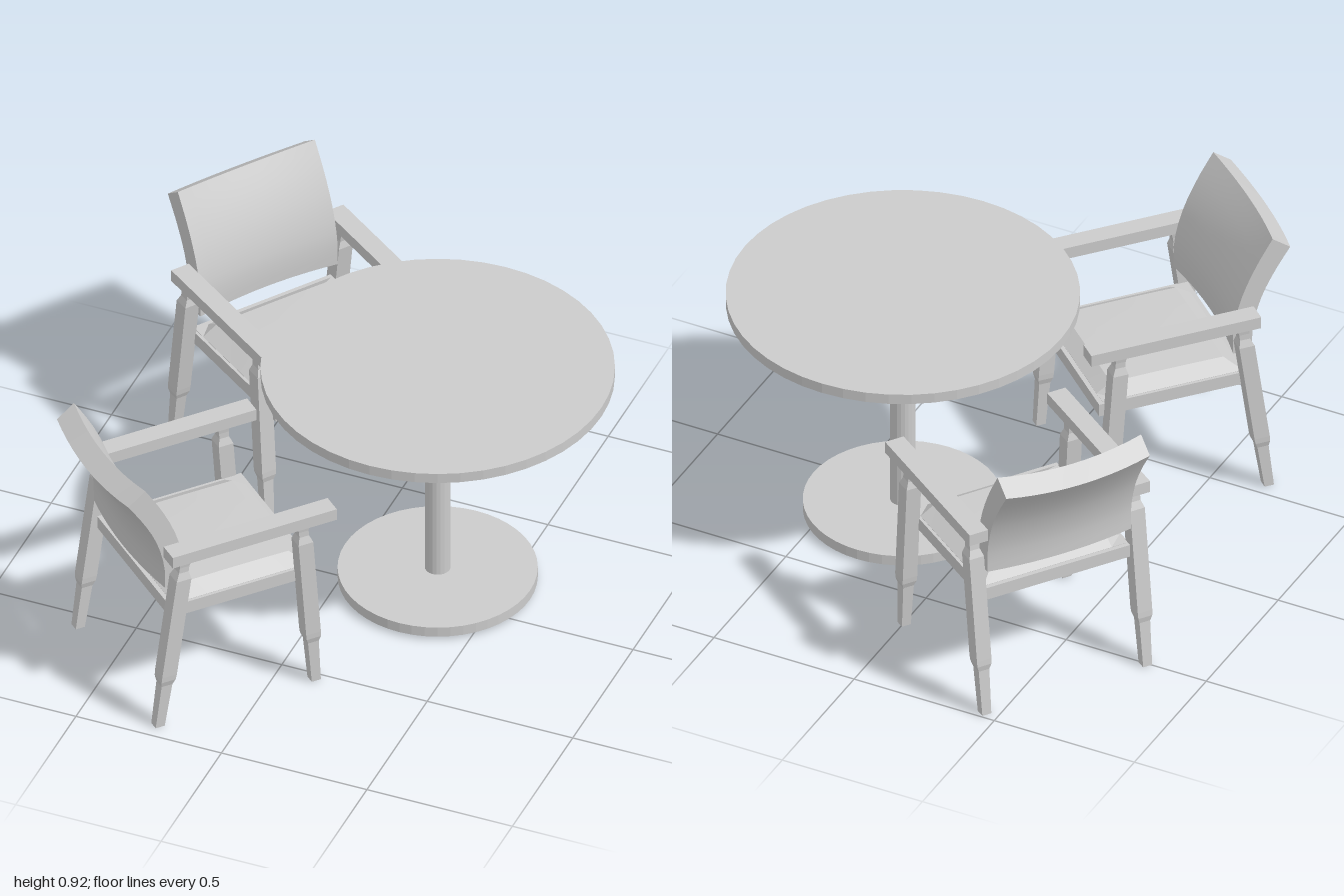
import * as THREE from 'three';
import { toCreasedNormals } from 'three/addons/utils/BufferGeometryUtils.js';

const smooth = new THREE.MeshStandardMaterial({ color: 0xcccccc });
const flat = new THREE.MeshStandardMaterial({ color: 0xcccccc, flatShading: true });

function add(parent, name, geometry, material = flat, x = 0, y = 0, z = 0) {
  const mesh = new THREE.Mesh(geometry, material);
  mesh.name = name;
  mesh.position.set(x, y, z);
  parent.add(mesh);
  return mesh;
}

// Move every vertex of a geometry by a rule
function reshape(geometry, rule) {
  const p = geometry.attributes.position;
  const v = new THREE.Vector3();
  for (let i = 0; i < p.count; i++) {
    rule(v.fromBufferAttribute(p, i));
    p.setXYZ(i, v.x, v.y, v.z);
  }
  geometry.computeVertexNormals();
  return geometry;
}

// Square turned leg, leaning from footZ at the floor to topZ under the arm
function legGeometry(footZ, topZ) {
  const profile = [
    [0, 0], [0.016, 0], [0.019, 0.16], [0.025, 0.18], [0.026, 0.2],
    [0.026, 0.53], [0.026, 0.565], [0.017, 0.59], [0.017, 0.61], [0.021, 0.64],
  ].map(([half, y]) => new THREE.Vector2(half * Math.SQRT2, y));
  const g = new THREE.LatheGeometry(profile, 4, Math.PI / 4);
  return reshape(g, (v) => { v.z += THREE.MathUtils.lerp(footZ, topZ, v.y / 0.64); });
}

// Reclined back panel, curved in profile and hollowed across its width
function backGeometry() {
  const width = 0.514;
  const toVec = ([z, y]) => new THREE.Vector2(z, y);
  const front = new THREE.SplineCurve(
    [[-0.22, 0.51], [-0.222, 0.61], [-0.25, 0.72], [-0.298, 0.825], [-0.355, 0.92]].map(toVec));
  const rear = new THREE.SplineCurve(
    [[-0.415, 0.875], [-0.36, 0.79], [-0.315, 0.7], [-0.288, 0.6], [-0.285, 0.51]].map(toVec));
  const shape = new THREE.Shape([...front.getPoints(10), ...rear.getPoints(10)]);
  const g = new THREE.ExtrudeGeometry(shape, { depth: width, steps: 10, bevelEnabled: false });
  g.rotateY(-Math.PI / 2);
  g.translate(width / 2, 0, 0);
  reshape(g, (v) => {
    const bow = 1 - (v.x / (width / 2)) ** 2;
    const rise = (v.y - 0.51) / 0.41;
    v.z -= 0.022 * bow;
    v.y -= 0.016 * bow * rise;
  });
  return toCreasedNormals(g, 0.6);
}

// Upholstered pad with sloped borders and a slight crown
function cushionGeometry(w, d) {
  const g = new THREE.BoxGeometry(w, 0.02, d, 10, 1, 10);
  reshape(g, (v) => {
    if (v.y < 0) return;
    const edge = Math.min(w / 2 - Math.abs(v.x), d / 2 - Math.abs(v.z));
    const crown = (1 - (2 * v.x / w) ** 2) * (1 - (2 * v.z / d) ** 2);
    v.y = -0.006 + 0.03 * Math.min(1, edge / 0.045) + 0.007 * crown;
  });
  return toCreasedNormals(g, 0.35);
}

function createChair() {
  const chair = new THREE.Group();
  chair.name = 'armchair';
  const frontLeg = legGeometry(0.227, 0.18);
  const backLeg = legGeometry(-0.325, -0.235);
  const arm = new THREE.BoxGeometry(0.066, 0.042, 0.58);
  const sideRail = new THREE.BoxGeometry(0.035, 0.045, 0.51);
  for (const s of [1, -1]) {
    const side = s > 0 ? 'left' : 'right';
    add(chair, side + 'FrontLeg', frontLeg, flat, s * 0.288);
    add(chair, side + 'BackLeg', backLeg, flat, s * 0.288);
    add(chair, side + 'Arm', arm, flat, s * 0.29, 0.655, 0);
    add(chair, side + 'SeatRail', sideRail, flat, s * 0.2475, 0.4125, -0.015);
  }
  // Seat frame and pad
  const crossRail = new THREE.BoxGeometry(0.46, 0.045, 0.035);
  add(chair, 'frontSeatRail', crossRail, flat, 0, 0.4125, 0.2225);
  add(chair, 'backSeatRail', crossRail, flat, 0, 0.4125, -0.2525);
  add(chair, 'seatPanel', new THREE.BoxGeometry(0.46, 0.03, 0.44), flat, 0, 0.415, -0.015);
  add(chair, 'seatCushion', cushionGeometry(0.51, 0.48), smooth, 0, 0.442, -0.015);
  add(chair, 'backrest', backGeometry(), smooth);
  return chair;
}

export function createModel() {
  const model = new THREE.Group();
  model.name = 'diningSet';

  // Round pedestal table
  const table = new THREE.Group();
  table.name = 'table';
  table.position.set(0.285, 0, -0.105);
  add(table, 'tableTop', new THREE.CylinderGeometry(0.563, 0.563, 0.036, 48), flat, 0, 0.83, 0);
  add(table, 'pedestal', new THREE.CylinderGeometry(0.041, 0.041, 0.78, 20), flat, 0, 0.43, 0);
  add(table, 'tableBase', new THREE.CylinderGeometry(0.318, 0.318, 0.036, 48), flat, 0, 0.029, 0);
  model.add(table);

  // Two armchairs turned toward the table
  for (const [x, z, turn] of [[-0.245, 0.504, 2.42], [-0.352, -0.549, 0.955]]) {
    const chair = createChair();
    chair.position.set(x, 0, z);
    chair.rotation.y = turn;
    model.add(chair);
  }
  return model;
}
